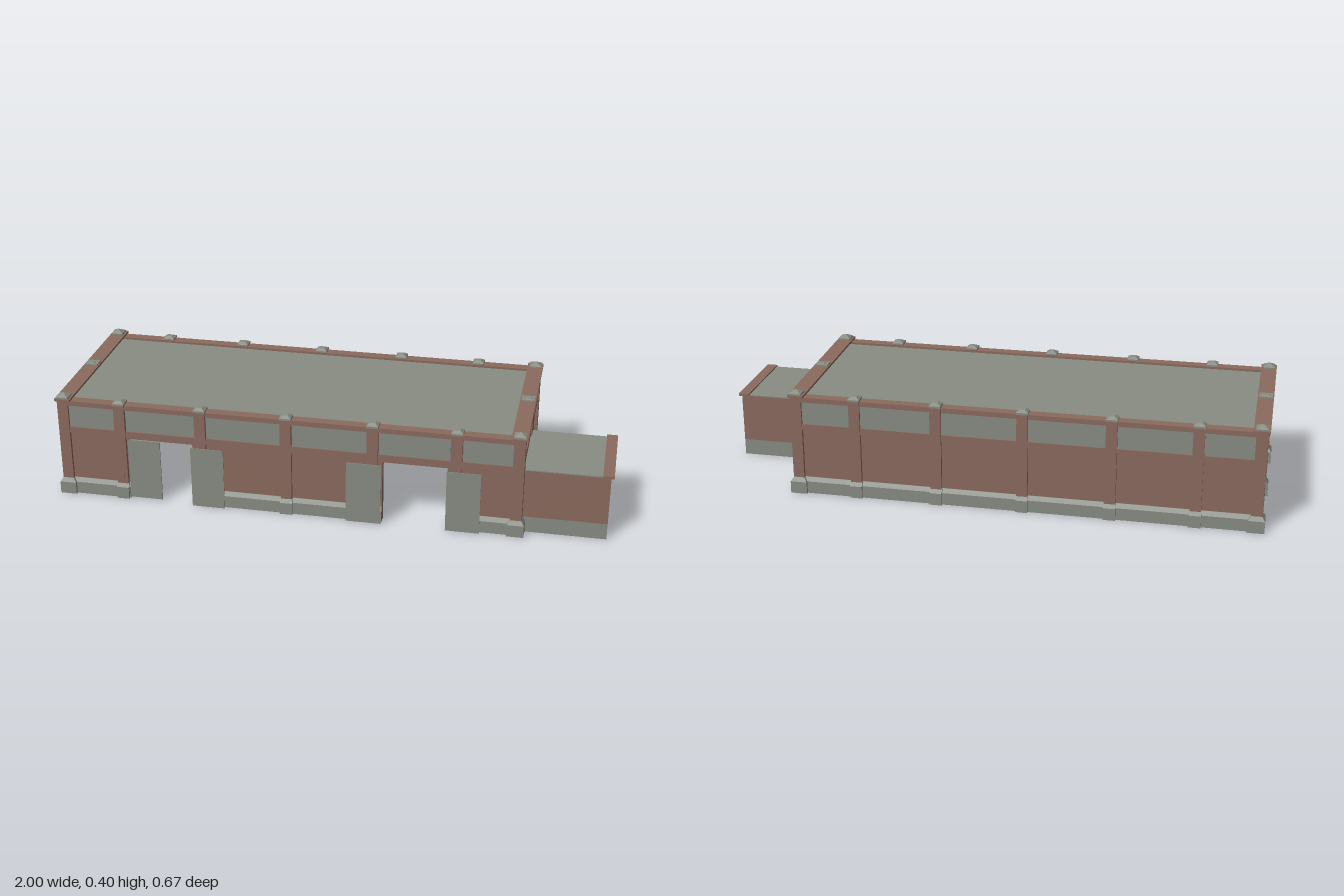
import * as THREE from 'three';

const mat = (name, color) => Object.assign(new THREE.MeshStandardMaterial({ color }), { name });

export function createModel() {
  const brick = mat('brick', 0x8a6a5d);
  const stone = mat('greyStone', 0x888c82);
  const model = new THREE.Group();
  model.name = 'industrialBuilding';

  const add = (parent, name, geo, material) => {
    const m = new THREE.Mesh(geo, material);
    m.name = name;
    parent.add(m);
    return m;
  };
  // Box given by its extents on each axis
  const box = (parent, name, material, x0, x1, y0, y1, z0, z1) => {
    const g = new THREE.BoxGeometry(x1 - x0, y1 - y0, z1 - z0);
    g.translate((x0 + x1) / 2, (y0 + y1) / 2, (z0 + z1) / 2);
    return add(parent, name, g, material);
  };
  // Square block tapering from width w0 to w1
  const taper = (parent, name, w0, w1, y0, y1, x, z) => {
    const r = Math.SQRT1_2;
    const g = new THREE.CylinderGeometry(w1 * r, w0 * r, y1 - y0, 4).toNonIndexed();
    g.rotateY(Math.PI / 4);
    g.translate(x, (y0 + y1) / 2, z);
    g.computeVertexNormals();
    return add(parent, name, g, stone);
  };
  // Plinth with a sloping top edge, running along x
  const plinth = (parent, name, x0, x1, front) => {
    const s = new THREE.Shape([[-0.013, 0], [front, 0], [front, 0.045], [front - 0.01, 0.06], [-0.013, 0.06]]
      .map(p => new THREE.Vector2(...p)));
    const g = new THREE.ExtrudeGeometry(s, { depth: x1 - x0, bevelEnabled: false });
    g.rotateY(-Math.PI / 2);
    g.translate(x1, 0, 0);
    add(parent, name, g, stone);
  };

  const CX = -0.145, CZ = -0.003, HX = 0.84, HZ = 0.323;
  const POST = 0.036, HALF = 0.02, DOOR_H = 0.235, TOP = 0.37;

  // One wall, facing local +z with its outer plane at z = 0
  function wall(name, half, pilasters, doors = []) {
    const g = new THREE.Group();
    g.name = name;

    // Wall panel with notches for the doorways
    const s = new THREE.Shape();
    const e = half - 0.013;
    s.moveTo(-e, 0);
    for (const [a, b] of doors) {
      s.lineTo(a, 0);
      s.lineTo(a, DOOR_H);
      s.lineTo(b, DOOR_H);
      s.lineTo(b, 0);
    }
    s.lineTo(e, 0);
    s.lineTo(e, TOP);
    s.lineTo(-e, TOP);
    const panel = new THREE.ExtrudeGeometry(s, { depth: 0.028, bevelEnabled: false });
    panel.translate(0, 0, -0.04);
    add(g, 'wallPanel', panel, brick);

    // Horizontal rails above and below the windows
    box(g, 'topRail', brick, -e, e, 0.352, TOP, -0.013, -0.003);
    box(g, 'middleRail', brick, -e, e, 0.243, 0.267, -0.013, -0.004);

    // Pilasters with plinth and cap
    for (const x of pilasters) {
      box(g, 'pilaster', brick, x - HALF, x + HALF, 0.03, TOP + 0.002, -0.04, 0);
      plinth(g, 'pilasterPlinth', x - HALF - 0.002, x + HALF + 0.002, 0.009);
      const cap = 0.042;
      box(g, 'pilasterCap', stone, x - cap / 2, x + cap / 2, TOP, 0.377, -0.04, 0.004);
      taper(g, 'pilasterCapTop', cap, 0.018, 0.377, 0.385, x, -0.019);
    }

    // Bays between pilasters: window and lower plinth
    const stops = [-half + POST, ...pilasters.flatMap(x => [x - HALF, x + HALF]), half - POST];
    for (let i = 0; i < stops.length; i += 2) {
      const a = stops[i], b = stops[i + 1];
      box(g, 'window', stone, a + 0.002, b - 0.002, 0.267, 0.352, -0.013, -0.009);
      let from = a;
      for (const [d0, d1] of doors) {
        if (d0 < a - 0.02 || d1 > b + 0.02) continue;
        if (d0 - from > 0.005) plinth(g, 'wallPlinth', from, d0, 0);
        from = d1;
      }
      if (b - from > 0.005) plinth(g, 'wallPlinth', from, b, 0);
    }
    model.add(g);
    return g;
  }

  const xs = [-0.755, -0.457, -0.145, 0.165, 0.46].map(x => x - CX);
  const doors = [[-0.73, -0.49], [0.2, 0.43]].map(d => d.map(x => x - CX));
  wall('frontWall', HX, xs, doors).position.set(CX, 0, CZ + HZ);
  const back = wall('backWall', HX, xs.map(x => -x));
  back.rotation.y = Math.PI;
  back.position.set(CX, 0, CZ - HZ);
  for (const s of [-1, 1]) {
    const side = wall(s < 0 ? 'rightWall' : 'leftWall', HZ, [0]);
    side.rotation.y = s * Math.PI / 2;
    side.position.set(CX + s * HX, 0, CZ);

    // Coping along each end wall
    const x = CX + s * (HX - 0.0215);
    box(model, 'endCoping', brick, x - 0.0285, x + 0.0285, TOP, 0.378, CZ - HZ - 0.007, CZ + HZ + 0.007);
    box(model, 'copingCentreBlock', stone, x - 0.024, x + 0.024, 0.376, 0.383, CZ - 0.021, CZ + 0.021);

    // Corner posts
    for (const t of [-1, 1]) {
      const px = CX + s * (HX - 0.02), pz = CZ + t * (HZ - 0.02);
      box(model, 'cornerPost', brick, px - 0.02, px + 0.02, 0.03, TOP, pz - 0.02, pz + 0.02);
      taper(model, 'cornerPlinth', 0.06, 0.06, 0, 0.045, px, pz);
      taper(model, 'cornerPlinthSlope', 0.06, 0.04, 0.045, 0.06, px, pz);
      taper(model, 'cornerCap', 0.044, 0.044, 0.377, 0.383, px, pz);
      taper(model, 'cornerCapTop', 0.044, 0.004, 0.383, 0.395, px, pz);
    }
  }

  // Flat roof, inset behind the parapet
  box(model, 'mainRoof', stone, CX - HX + 0.038, CX + HX - 0.038, 0.356, 0.362, CZ - HZ + 0.038, CZ + HZ - 0.038);

  // Sliding doors: one half-closed in its opening, three pushed aside
  box(model, 'closedDoor', stone, -0.73, -0.61, 0.003, DOOR_H, 0.311, 0.315);
  for (const [a, b] of [[-0.49, -0.37], [0.075, 0.2], [0.43, 0.55]]) {
    box(model, 'slidingDoor', stone, a, b, 0.003, DOOR_H, 0.333, 0.336);
  }
  // Small call box beside the first door
  box(model, 'callBox', brick, -0.763, -0.747, 0.085, 0.1, 0.318, 0.325);

  // Side annex with its plinth, roof and end coping
  box(model, 'annexPlinth', stone, 0.685, 0.99, 0, 0.06, -0.032, 0.283);
  box(model, 'annexWalls', brick, 0.685, 0.99, 0.06, 0.24, -0.032, 0.283);
  box(model, 'annexRoof', stone, 0.685, 0.965, 0.24, 0.244, -0.032, 0.283);
  box(model, 'annexCoping', brick, 0.961, 1, 0.24, 0.249, -0.038, 0.288);

  return model;
}
